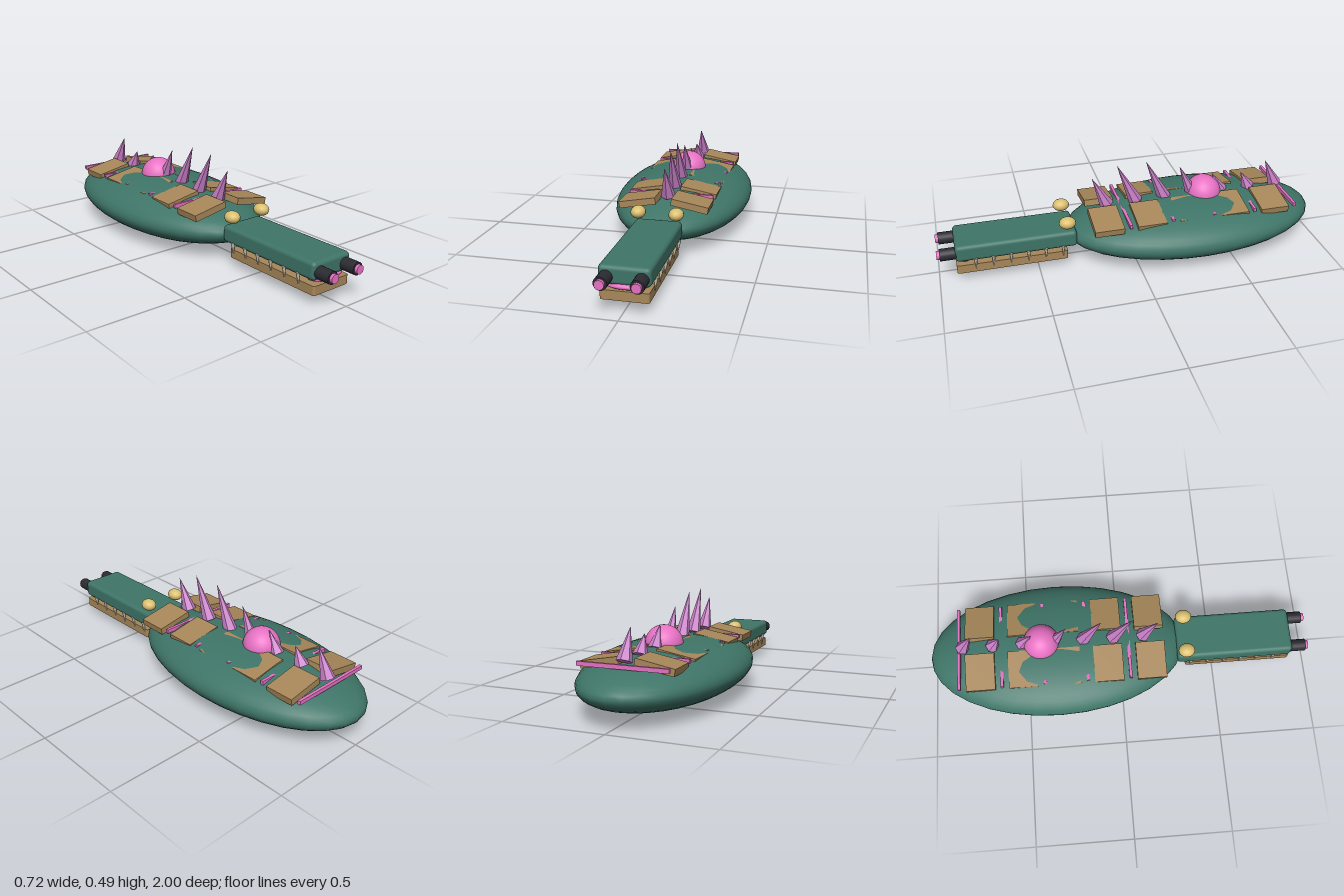
import * as THREE from 'three';
import { RoundedBoxGeometry } from 'three/addons/geometries/RoundedBoxGeometry.js';

const mat = (color, flatShading = false) => new THREE.MeshStandardMaterial({ color, flatShading });

export function createModel() {
  const model = new THREE.Group();
  const teal = mat(0x3f7568), tan = mat(0xa8885a), pink = mat(0xe872c4), spikeMat = mat(0xc87fc6, true);
  const gold = mat(0xdcc070), dark = mat(0x2b2b33), bone = mat(0xd0c8b8);

  const add = (name, geometry, material, x, y, z) => {
    const mesh = new THREE.Mesh(geometry, material);
    mesh.name = name;
    mesh.position.set(x, y, z);
    model.add(mesh);
    return mesh;
  };
  const ellipsoid = (rx, ry, rz, w = 32, h = 20) => new THREE.SphereGeometry(1, w, h).scale(rx, ry, rz);
  const box = (w, h, d) => new THREE.BoxGeometry(w, h, d);

  // Cone running from the middle of its base to its tip
  const cone = (name, base, tip, radius, sides, material) => {
    const dir = new THREE.Vector3().subVectors(tip, base);
    const length = dir.length();
    const geometry = new THREE.ConeGeometry(radius, length, sides).translate(0, length / 2, 0);
    const mesh = add(name, geometry, material, base.x, base.y, base.z);
    mesh.quaternion.setFromUnitVectors(new THREE.Vector3(0, 1, 0), dir.normalize());
  };

  // Body and snout
  add('body', ellipsoid(0.36, 0.142, 0.67, 32, 24), teal, 0, 0.144, -0.33);
  add('upperSnout', new RoundedBoxGeometry(0.234, 0.088, 0.61, 3, 0.02), teal, 0, 0.159, 0.605);

  // Lower jaw: a slab with slightly rounded upright corners
  const hw = 0.11, hl = 0.28, r = 0.014;
  const outline = new THREE.Shape();
  outline.moveTo(-hw + r, -hl).lineTo(hw - r, -hl).quadraticCurveTo(hw, -hl, hw, -hl + r);
  outline.lineTo(hw, hl - r).quadraticCurveTo(hw, hl, hw - r, hl);
  outline.lineTo(-hw + r, hl).quadraticCurveTo(-hw, hl, -hw, hl - r);
  outline.lineTo(-hw, -hl + r).quadraticCurveTo(-hw, -hl, -hw + r, -hl);
  const jaw = new THREE.ExtrudeGeometry(outline, { depth: 0.045, bevelEnabled: false, curveSegments: 4 });
  add('lowerJaw', jaw.rotateX(-Math.PI / 2), tan, 0, 0.048, 0.63);
  add('tongue', ellipsoid(0.1, 0.02, 0.05, 24, 12), pink, 0, 0.111, 0.868);

  // Eyes, nostrils and teeth on both sides
  for (const s of [1, -1]) {
    add('eye', ellipsoid(0.037, 0.031, 0.043, 16, 12), gold, s * 0.094, 0.248, 0.345);
    const tube = (radius, length) => new THREE.CylinderGeometry(radius, radius, length, 20).rotateX(Math.PI / 2);
    add('nostril', tube(0.031, 0.1), dark, s * 0.079, 0.153, 0.935);
    add('nostrilCore', tube(0.022, 0.03), pink, s * 0.079, 0.153, 0.985);
    for (let i = 0; i < 6; i++) {
      const z = 0.375 + i * 0.088;
      cone('tooth', new THREE.Vector3(s * 0.115, 0.13, z), new THREE.Vector3(s * 0.107, 0.053, z), 0.01, 8, bone);
    }
  }

  // Back plates with a bar behind each row
  for (let i = 0; i < 5; i++) {
    const z = 0.155 - i * 0.22;
    for (const s of [1, -1]) {
      add('backPlate', box(0.19, 0.034, 0.15), tan, s * 0.133, 0.252, z).rotation.z = -s * 0.18;
    }
    add('crossBar', box(0.44, 0.02, 0.015), pink, 0, 0.25, z - 0.11);
  }

  // Dome on the back
  add('dome', ellipsoid(0.093, 0.093, 0.093, 32, 20), pink, 0, 0.274, -0.405);

  // Spine spikes leaning forward: base z, tip z, tip y
  const spikes = [
    [0.12, 0.195, 0.43], [-0.035, 0.065, 0.488], [-0.19, -0.088, 0.492], [-0.345, -0.27, 0.438],
    [-0.505, -0.45, 0.375], [-0.66, -0.615, 0.36], [-0.815, -0.75, 0.412],
  ];
  for (const [baseZ, tipZ, tipY] of spikes) {
    cone('spineSpike', new THREE.Vector3(0, 0.27, baseZ), new THREE.Vector3(0, tipY, tipZ), 0.037, 6, spikeMat);
  }
  return model;
}
